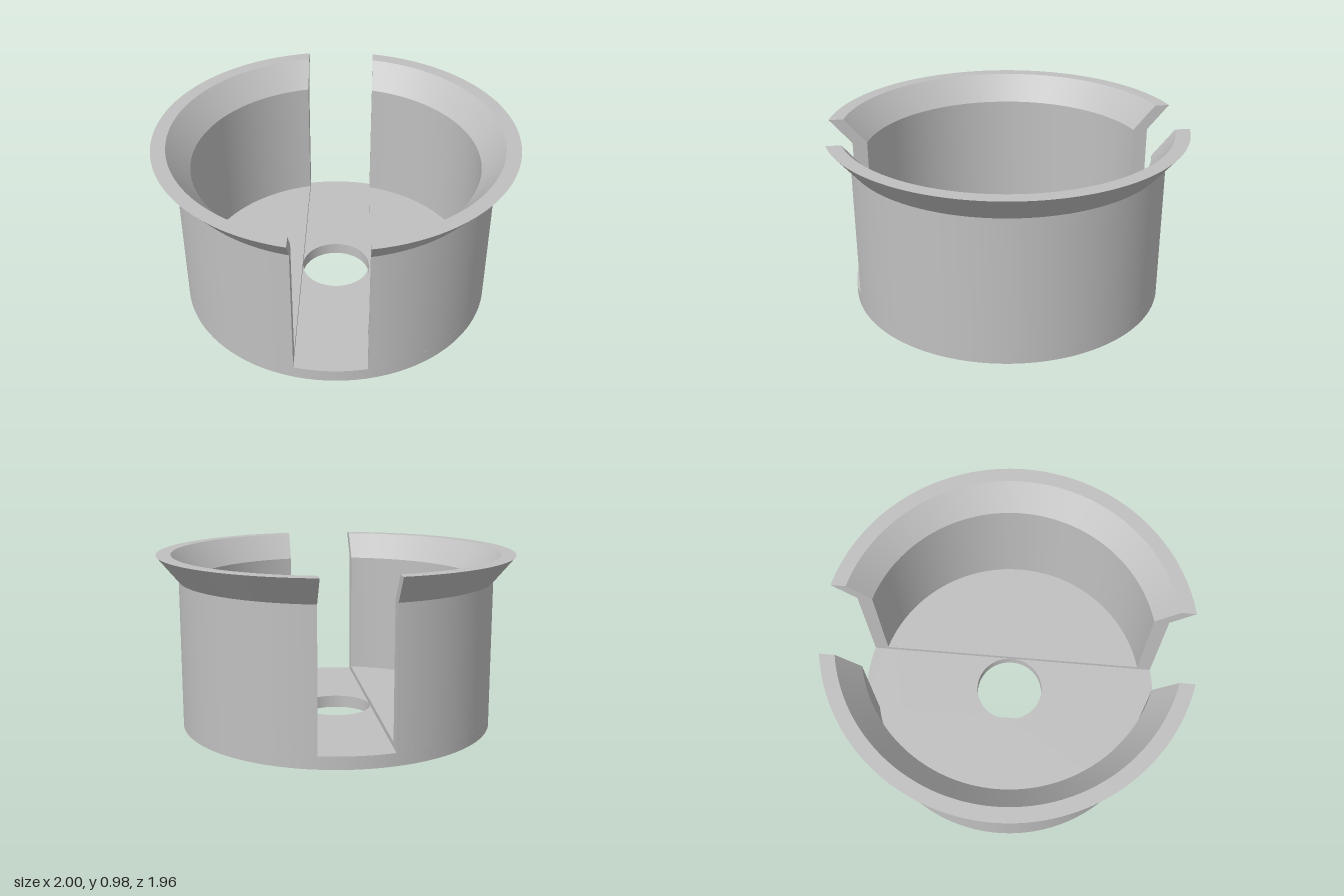
import * as THREE from 'three';
import { toCreasedNormals } from 'three/addons/utils/BufferGeometryUtils.js';

const SLOT = 0.197; // half width of the slot, also the hole radius
const BASE = 0.07;  // thickness of the base disc
const STEPS = 64;

// Section of one half: raised floor, inner wall, flared rim, outer wall
const PROFILE = [
  [SLOT, 0.1], [0.8, 0.1], [0.8, 0.83], [0.92, 0.975],
  [1, 0.975], [0.88, 0.83], [0.88, BASE],
];

// Revolve the section, stopping every circle at the flat plane x = SLOT
function halfShell() {
  const pos = [], index = [];
  for (let k = 0; k < PROFILE.length - 1; k++) {
    const start = pos.length / 3;
    for (const [r, y] of [PROFILE[k], PROFILE[k + 1]]) {
      const a0 = Math.asin(SLOT / r);
      for (let j = 0; j <= STEPS; j++) {
        const a = a0 + (Math.PI - 2 * a0) * j / STEPS;
        pos.push(r * Math.sin(a), y, r * Math.cos(a));
      }
    }
    for (let j = 0; j < STEPS; j++) {
      const a = start + j, b = a + STEPS + 1;
      index.push(a, b, b + 1);
      if (k > 0) index.push(a, b + 1, a + 1); // the floor starts from a point
    }
  }
  const geo = new THREE.BufferGeometry();
  geo.setAttribute('position', new THREE.Float32BufferAttribute(pos, 3));
  geo.setIndex(index);
  geo.computeVertexNormals();
  return geo;
}

// Flat cut face along the slot: wall ends joined by the low floor step
function cutFace() {
  const side = PROFILE.map(([r, y]) => [Math.sqrt(Math.max(0, r * r - SLOT * SLOT)), y]);
  const mirrored = side.slice(1).reverse().map(([z, y]) => [-z, y]);
  const shape = new THREE.Shape([...side, ...mirrored].map(([z, y]) => new THREE.Vector2(z, y)));
  return new THREE.ShapeGeometry(shape).rotateY(-Math.PI / 2).translate(SLOT, 0, 0);
}

// Disc with a round central hole
function baseDisc() {
  const shape = new THREE.Shape().absarc(0, 0, 0.88, 0, Math.PI * 2, false);
  shape.holes.push(new THREE.Path().absarc(0, 0, SLOT, 0, Math.PI * 2, true));
  const geo = new THREE.ExtrudeGeometry(shape, { depth: BASE, bevelEnabled: false, curveSegments: 144 });
  return toCreasedNormals(geo.rotateX(-Math.PI / 2), 0.5);
}

export function createModel() {
  const model = new THREE.Group();
  model.name = 'slottedCup';
  const grey = new THREE.MeshStandardMaterial({ color: 0xc0c0c0 });
  grey.name = 'lightGrey';

  const add = (parent, name, geo) => {
    const mesh = new THREE.Mesh(geo, grey);
    mesh.name = name;
    parent.add(mesh);
  };

  add(model, 'baseDisc', baseDisc());

  // Two matching halves, one on each side of the slot
  const shell = halfShell(), face = cutFace();
  ['leftHalf', 'rightHalf'].forEach((name, i) => {
    const half = new THREE.Group();
    half.name = name;
    half.rotation.y = i * Math.PI;
    add(half, 'flaredWall', shell);
    add(half, 'slotFace', face);
    model.add(half);
  });
  return model;
}
